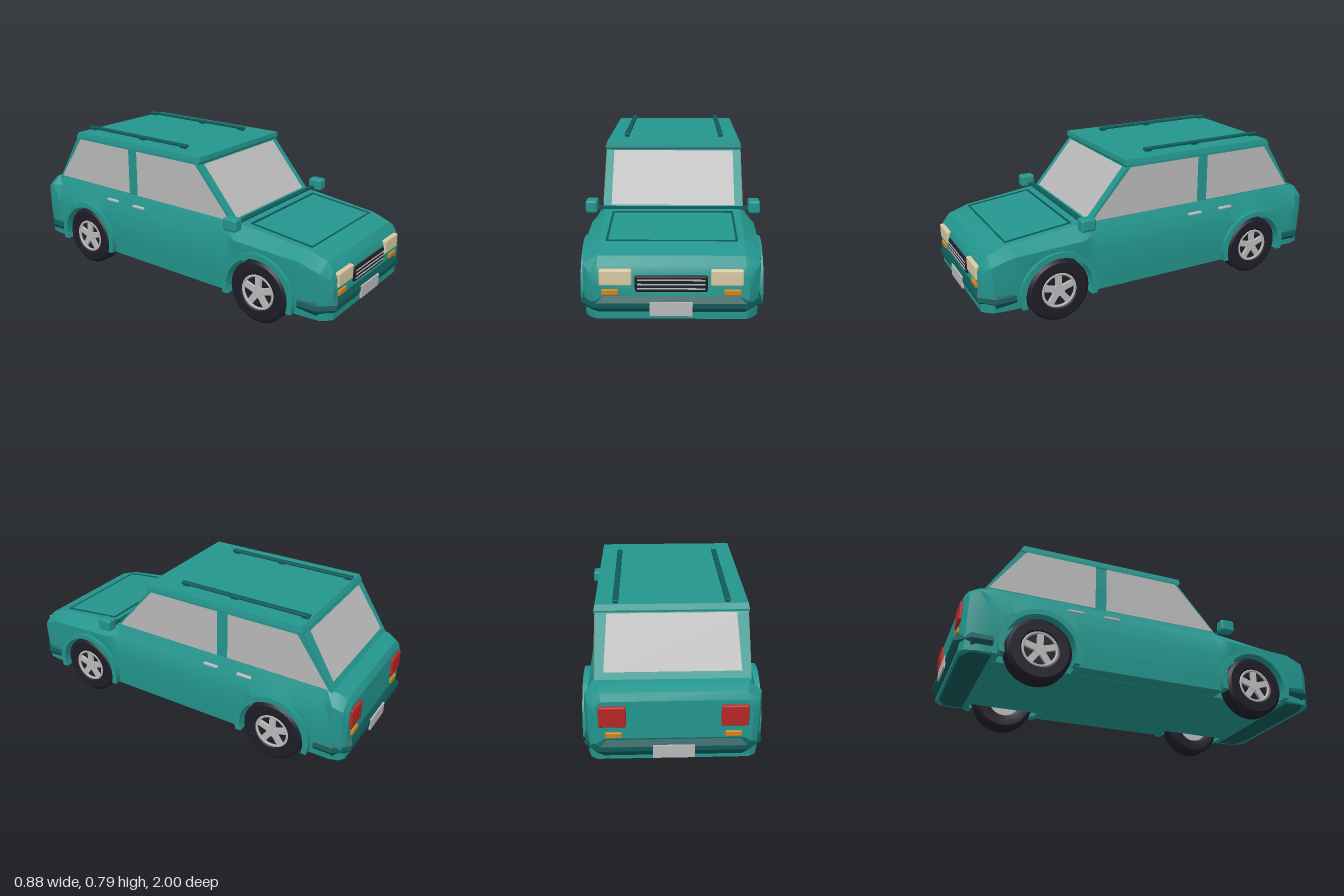
import * as THREE from 'three';
import { toCreasedNormals } from 'three/addons/utils/BufferGeometryUtils.js';
import { RoundedBoxGeometry } from 'three/addons/geometries/RoundedBoxGeometry.js';

function material(name, color, side = THREE.FrontSide) {
  const m = new THREE.MeshStandardMaterial({ color, side });
  m.name = name;
  return m;
}

// Closed skin through rings of equal point count, with end caps
function loft(rings, crease = 0.45) {
  const n = rings[0].length, index = [];
  for (let i = 0; i < rings.length - 1; i++) {
    for (let j = 0; j < n; j++) {
      const a = i * n + j, b = i * n + (j + 1) % n;
      index.push(a, b, b + n, a, b + n, a + n);
    }
  }
  const last = (rings.length - 1) * n;
  for (let j = 1; j < n - 1; j++) index.push(0, j + 1, j, last, last + j, last + j + 1);
  const g = new THREE.BufferGeometry();
  g.setAttribute('position', new THREE.Float32BufferAttribute(rings.flat(2), 3));
  g.setIndex(index);
  return toCreasedNormals(g, crease);
}

// Thin four-cornered face
function quad(a, b, c, d) {
  const g = new THREE.BufferGeometry();
  g.setAttribute('position', new THREE.Float32BufferAttribute([a, b, c, d].flat(), 3));
  g.setIndex([0, 1, 2, 0, 2, 3]);
  g.computeVertexNormals();
  return g;
}

export function createModel() {
  const paint = material('teal paint', 0x23958d);
  const trim = material('dark teal trim', 0x0f5a58);
  const glass = material('grey glass', 0xb8b8b8, THREE.DoubleSide);
  const silver = material('silver', 0xb9b9b9);
  const rubber = material('black rubber', 0x1e1d27);
  const cream = material('cream lamp', 0xd6c8a2);
  const amber = material('amber lamp', 0xcc8522);
  const red = material('red lamp', 0xb82626);

  const car = new THREE.Group();
  car.name = 'car';
  const add = (name, geometry, mat, x = 0, y = 0, z = 0, parent = car) => {
    const m = new THREE.Mesh(geometry, mat);
    m.name = name;
    m.position.set(x, y, z);
    parent.add(m);
    return m;
  };
  const box = (name, mat, w, h, d, x, y, z, parent) =>
    add(name, new THREE.BoxGeometry(w, h, d), mat, x, y, z, parent);
  const rounded = (name, mat, w, h, d, x, y, z, r = 0.008) =>
    add(name, new RoundedBoxGeometry(w, h, d, 2, r), mat, x, y, z);

  // Body: z, top height, top half width, shoulder height, shoulder half width, side half width
  const keys = [
    [-0.97, 0.41, 0.33, 0.38, 0.355, 0.36], [-0.95, 0.445, 0.33, 0.40, 0.39, 0.39],
    [-0.90, 0.468, 0.345, 0.42, 0.402, 0.406], [-0.85, 0.472, 0.356, 0.42, 0.378, 0.406],
    [0.38, 0.472, 0.356, 0.42, 0.378, 0.406], [0.45, 0.465, 0.345, 0.40, 0.41, 0.407],
    [0.83, 0.425, 0.33, 0.385, 0.408, 0.408], [0.93, 0.39, 0.33, 0.35, 0.395, 0.398],
    [0.965, 0.35, 0.33, 0.32, 0.365, 0.37], [0.98, 0.31, 0.325, 0.29, 0.345, 0.35],
  ];
  const axles = [-0.595, 0.6], archR = 0.19, axleY = 0.163, floor = 0.11;
  const stations = keys.map(k => [k[0], floor]).filter(s => axles.every(c => Math.abs(s[0] - c) > archR));
  for (const c of axles) {
    stations.push([c - archR, floor]);
    for (let i = 0; i <= 14; i++) {
      const t = Math.PI * (1 - i / 14);
      stations.push([c + archR * Math.cos(t), axleY + archR * Math.sin(t)]);
    }
    stations.push([c + archR, floor]);
  }
  stations.sort((a, b) => a[0] - b[0]);
  // Keep the floor step on the outside of each arch
  for (let i = 1; i < stations.length; i++) {
    const [p, q] = [stations[i - 1], stations[i]];
    if (Math.abs(p[0] - q[0]) < 1e-6) {
      const rear = axles.some(c => Math.abs(q[0] - (c - archR)) < 1e-6);
      if (rear === (p[1] > q[1])) [stations[i - 1], stations[i]] = [q, p];
    }
  }
  const rings = stations.map(([z, yb]) => {
    let i = 0;
    while (i < keys.length - 2 && z > keys[i + 1][0]) i++;
    const f = (z - keys[i][0]) / (keys[i + 1][0] - keys[i][0]);
    const [, yt, wt, ys, ws, wl] = keys[i].map((v, k) => THREE.MathUtils.lerp(v, keys[i + 1][k], f));
    const half = [[wl - 0.012, yb], [wl - 0.006, Math.max(0.2, yb)],
      [wl, Math.max(Math.min(0.33, ys - 0.03), yb)], [ws, Math.max(ys, yb)], [wt, yt]];
    return [...half.map(([x, y]) => [x, y, z]), ...half.reverse().map(([x, y]) => [-x, y, z])];
  });
  add('body', loft(rings), paint);
  box('underbody', paint, 0.6, 0.27, 1.86, 0, 0.244, 0);

  // Cabin and roof
  const layer = (y, w, zf, zb) => [[-w, y, zf], [w, y, zf], [w, y, zb], [-w, y, zb]];
  add('cabin', loft([layer(0.46, 0.356, 0.412, -0.882), layer(0.73, 0.354, 0.182, -0.712)], 0.1), paint);
  add('roof', loft([layer(0.725, 0.36, 0.19, -0.708), layer(0.738, 0.36, 0.198, -0.71),
    layer(0.764, 0.355, 0.195, -0.695)], 0.1), paint);

  // Windows
  add('windshield', quad([-0.315, 0.478, 0.402], [0.315, 0.478, 0.402],
    [0.315, 0.722, 0.194], [-0.315, 0.722, 0.194]), glass);
  add('rearWindow', quad([0.315, 0.5, -0.861], [-0.315, 0.5, -0.861],
    [-0.3, 0.728, -0.718], [0.3, 0.728, -0.718]), glass);
  for (const s of [1, -1]) {
    const x = s * 0.3595;
    add('frontSideWindow', quad([x, 0.474, 0.39], [x, 0.474, -0.24], [x, 0.728, -0.24], [x, 0.728, 0.165]), glass);
    add('rearSideWindow', quad([x, 0.476, -0.3], [x, 0.476, -0.858], [x, 0.728, -0.678], [x, 0.728, -0.3]), glass);
    for (const z of [-0.215, -0.412]) rounded('doorHandle', silver, 0.02, 0.014, 0.085, s * 0.38, 0.417, z, 0.005);

    // Roof rail on three feet
    rounded('roofRail', trim, 0.027, 0.014, 0.73, s * 0.259, 0.778, -0.33, 0.005);
    for (const z of [0.01, -0.28, -0.67]) box('railFoot', trim, 0.02, 0.02, 0.035, s * 0.259, 0.768, z);

    // Wing mirror
    rounded('mirror', paint, 0.06, 0.065, 0.08, s * 0.409, 0.486, 0.443, 0.012);
    box('mirrorStalk', trim, 0.06, 0.016, 0.025, s * 0.36, 0.47, 0.43);

    // Bonnet side seam, following the slope
    const seam = box('bonnetSeam', trim, 0.01, 0.008, 0.345, s * 0.297, 0.4435, 0.655);
    seam.rotation.x = Math.atan2(0.04, 0.38);

    // Lamps
    rounded('headlight', cream, 0.145, 0.074, 0.05, s * 0.247, 0.305, 0.965);
    rounded('frontIndicator', amber, 0.076, 0.028, 0.03, s * 0.272, 0.237, 0.975, 0.005);
    rounded('tailLight', red, 0.125, 0.105, 0.04, s * 0.277, 0.335, -0.963);
    rounded('rearIndicator', amber, 0.076, 0.028, 0.03, s * 0.272, 0.24, -0.966, 0.005);
  }
  box('bonnetRearSeam', trim, 0.6, 0.008, 0.01, 0, 0.4625, 0.483);
  box('bonnetFrontSeam', trim, 0.6, 0.006, 0.008, 0, 0.425, 0.827);
  box('cowl', trim, 0.66, 0.014, 0.03, 0, 0.467, 0.425);

  // Grille
  rounded('grille', rubber, 0.322, 0.075, 0.04, 0, 0.277, 0.97);
  for (const y of [0.257, 0.277, 0.297]) box('grilleSlat', silver, 0.3, 0.006, 0.008, 0, y, 0.989);

  // Bumpers: height, half width, front depth
  const bumper = loft([[0.107, 0.37, 0.955], [0.165, 0.412, 0.995], [0.188, 0.405, 0.995], [0.218, 0.375, 0.98]]
    .map(([y, h, zf]) => [[-h + 0.07, y, zf], [h - 0.07, y, zf], [h, y, 0.92], [h, y, 0.82], [-h, y, 0.82], [-h, y, 0.92]]), 0.3);
  add('frontBumper', bumper, trim);
  add('rearBumper', bumper, trim).rotation.y = Math.PI;
  for (const s of [1, -1]) box('plate', silver, 0.19, 0.064, 0.009, 0, 0.163, s * 0.9955);

  // Wheel arch flares
  const drop = 0.25, arch = new THREE.Shape();
  arch.absarc(0, 0, 0.207, -drop, Math.PI + drop, false);
  arch.absarc(0, 0, 0.179, Math.PI + drop + 0.04, -drop - 0.04, true);
  const flare = new THREE.ExtrudeGeometry(arch, { depth: 0.062, bevelEnabled: false, curveSegments: 18 });
  flare.translate(0, 0, -0.031).rotateY(Math.PI / 2);

  // Wheels
  const profile = [[0.088, -0.046], [0.1, -0.052], [0.147, -0.053], [0.164, -0.038],
    [0.164, 0.038], [0.147, 0.053], [0.1, 0.052], [0.088, 0.044]].map(p => new THREE.Vector2(...p));
  const tyre = toCreasedNormals(new THREE.LatheGeometry(profile, 32).rotateZ(-Math.PI / 2), 0.5);
  const disc = (r, w, n = 28) => new THREE.CylinderGeometry(r, r, w, n).rotateZ(-Math.PI / 2);
  const rimRing = new THREE.TorusGeometry(0.087, 0.008, 6, 32).rotateY(Math.PI / 2);
  for (const s of [1, -1]) {
    for (const z of axles) {
      add('wheelArch', flare, paint, s * 0.397, axleY, z);
      const wheel = new THREE.Group();
      wheel.name = 'wheel';
      wheel.position.set(s * 0.362, 0.164, z);
      if (s < 0) wheel.rotation.y = Math.PI;
      car.add(wheel);
      add('tyre', tyre, rubber, 0, 0, 0, wheel);
      add('wheelBack', disc(0.092, 0.06), silver, -0.012, 0, 0, wheel);
      add('wheelWell', disc(0.09, 0.016), rubber, 0.024, 0, 0, wheel);
      add('rimRing', rimRing, silver, 0.044, 0, 0, wheel);
      add('hub', disc(0.03, 0.022, 16), silver, 0.039, 0, 0, wheel);
      for (let i = 0; i < 5; i++) {
        const a = i * Math.PI * 0.4;
        box('spoke', silver, 0.016, 0.07, 0.032, 0.039, 0.052 * Math.cos(a), 0.052 * Math.sin(a), wheel).rotation.x = a;
      }
    }
  }
  return car;
}
